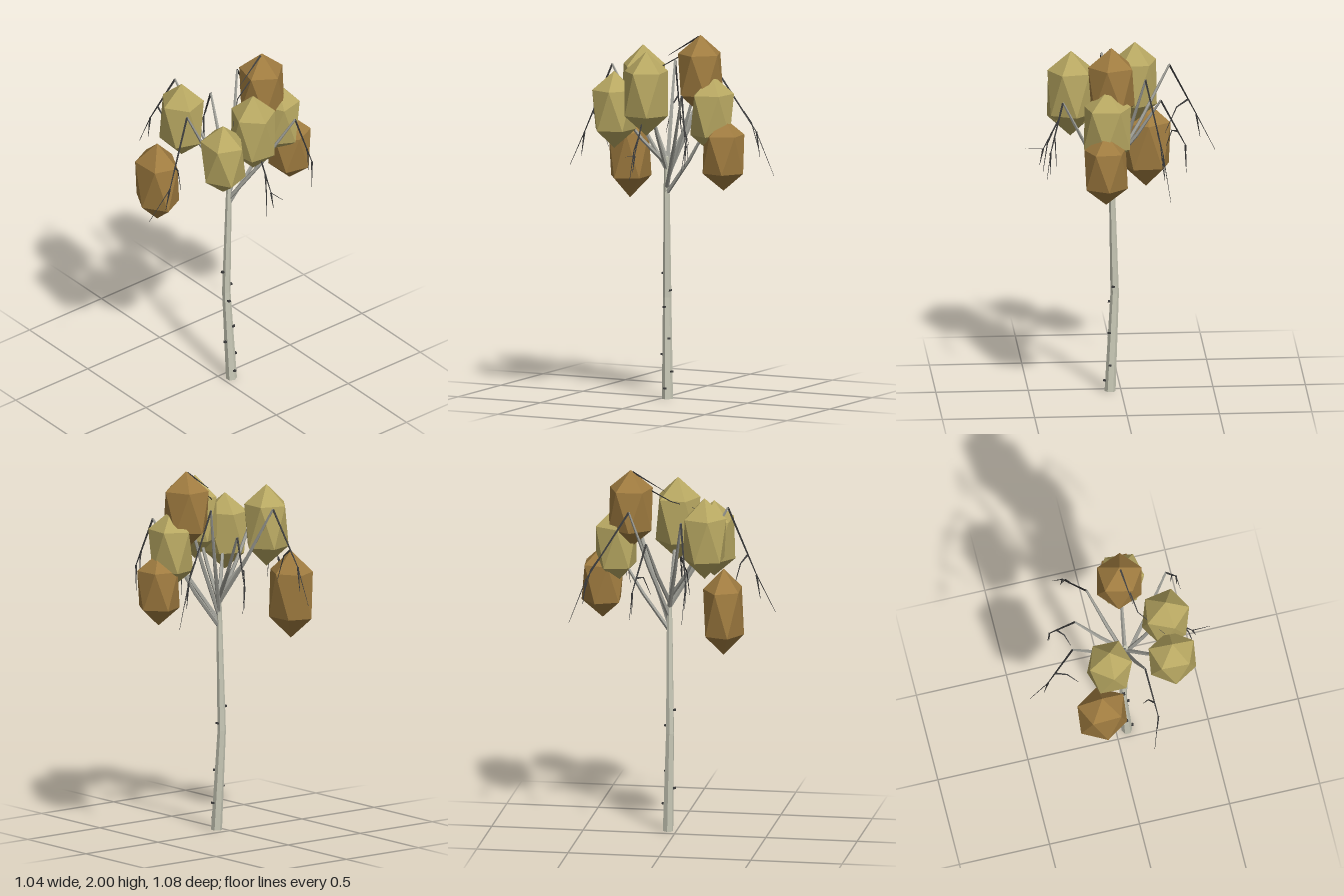
import * as THREE from 'three';

const mat = (color) => new THREE.MeshStandardMaterial({ color, flatShading: true, side: THREE.DoubleSide });
const bark = mat(0xcacab8), grey = mat(0xa2a29a), dark = mat(0x3c3c3c);
const olive = mat(0xb8a862), brown = mat(0xa07c40);
const vec = (x, y, z) => new THREE.Vector3(x, y, z);

// Tapered limb swept through points, with one radius per point
function limb(name, pts, radii, sides, material) {
  const pos = [], idx = [];
  pts.forEach((p, i) => {
    const dir = pts[Math.min(i + 1, pts.length - 1)].clone().sub(pts[Math.max(i - 1, 0)]).normalize();
    const a = (Math.abs(dir.z) > 0.9 ? vec(1, 0, 0) : vec(0, 0, 1)).cross(dir).normalize();
    const b = dir.clone().cross(a);
    for (let k = 0; k < sides; k++) {
      const t = (k / sides) * Math.PI * 2, r = radii[i];
      const q = p.clone().addScaledVector(a, Math.cos(t) * r).addScaledVector(b, Math.sin(t) * r);
      pos.push(q.x, q.y, q.z);
      if (i < pts.length - 1) {
        const j = i * sides + k, n = i * sides + ((k + 1) % sides);
        idx.push(j, n, j + sides, n, n + sides, j + sides);
      }
    }
  });
  const last = (pts.length - 1) * sides;
  for (let k = 1; k < sides - 1; k++) idx.push(0, k + 1, k, last, last + k, last + k + 1);
  const g = new THREE.BufferGeometry();
  g.setAttribute('position', new THREE.Float32BufferAttribute(pos, 3));
  g.setIndex(idx);
  g.computeVertexNormals();
  const m = new THREE.Mesh(g, material);
  m.name = name;
  return m;
}

// Thin dark twig that narrows evenly to its tip
function twig(...pts) {
  const n = pts.length - 1;
  return limb('twig', pts, pts.map((p, i) => 0.0055 * (1 - i / n) + 0.0012), 3, dark);
}

// Branch rising from the trunk at height y0 to its end
function branch(y0, end) {
  const start = vec(0.05, y0, -0.035);
  const mid = start.clone().lerp(end, 0.5);
  mid.y -= 0.02;
  return limb('branch', [start, mid, end], [0.012, 0.0105, 0.006], 5, grey);
}

// Twigs hanging from a branch end: over an elbow to a tip, with a side fork and a short spur
function droop(end, elbow, tip, fork) {
  const g = new THREE.Group();
  g.name = 'droopingTwigs';
  const split = end.clone().lerp(elbow, 0.7);
  const bend = split.clone().lerp(fork, 0.5);
  bend.y += 0.05;
  const spur = elbow.clone().lerp(tip, 0.2);
  spur.y -= 0.09;
  g.add(twig(end, split, elbow, tip), twig(split, bend, fork), twig(elbow, spur));
  return g;
}

// Tall twenty-sided leaf clump standing on a point
function clump(center, size, turn, material) {
  const g = new THREE.IcosahedronGeometry(1, 0);
  g.rotateZ(Math.atan(2 / (1 + Math.sqrt(5))));
  const p = g.attributes.position;
  for (let i = 0; i < p.count; i++) if (Math.abs(p.getY(i)) < 0.9) p.setY(i, p.getY(i) * 1.15);
  g.rotateY(turn);
  g.scale(size.x, size.y, size.z);
  g.computeVertexNormals();
  const m = new THREE.Mesh(g, material);
  m.position.copy(center);
  m.name = 'leafClump';
  return m;
}

export function createModel() {
  const tree = new THREE.Group();
  tree.name = 'tree';

  // Slightly bent trunk
  const trunk = [vec(0.06, 0, -0.045), vec(0.034, 0.55, -0.03), vec(0.048, 1.1, -0.034), vec(0.052, 1.32, -0.036)];
  tree.add(limb('trunk', trunk, [0.03, 0.023, 0.017, 0.013], 6, bark));

  // Dark knots around the lower bark: height and direction
  for (const [y, angle] of [[0.06, 0], [0.15, -1.3], [0.24, 1.5], [0.33, -0.8], [0.5, 0.2], [0.59, -1.2], [0.68, 1.6]]) {
    const r = 0.029 - y * 0.012;
    const k = new THREE.Mesh(new THREE.BoxGeometry(0.022, 0.01, 0.014), dark);
    k.position.copy(trunk[0]).lerp(trunk[1], Math.min(y / 0.55, 1)).setY(y);
    k.position.add(vec(Math.cos(angle) * r, 0, Math.sin(angle) * r));
    k.rotation.set(0, -angle, 0.15);
    k.name = 'knot';
    tree.add(k);
  }

  // Bare branches with drooping twigs: start height, end, elbow, tip, fork
  const bare = [
    [1.2, vec(-0.12, 1.81, -0.23), vec(-0.2, 1.45, -0.45), vec(-0.235, 1.21, -0.54), vec(-0.2, 1.34, -0.47)],
    [1.28, vec(-0.21, 1.66, -0.12), vec(-0.34, 1.42, -0.175), vec(-0.345, 1.27, -0.19), vec(-0.24, 1.39, -0.09)],
    [1.25, vec(-0.27, 1.8, 0.08), vec(-0.42, 1.5, 0.13), vec(-0.52, 1.3, 0.125), vec(-0.25, 1.4, 0.125)],
    [1.25, vec(0.082, 1.81, 0.28), vec(0.12, 1.43, 0.43), vec(0.075, 1.24, 0.54), vec(0.065, 1.35, 0.31)],
    [1.25, vec(0.26, 1.68, -0.03), vec(0.42, 1.37, -0.03), vec(0.52, 1.375, -0.03), vec(0.42, 1.23, 0)],
    [1.15, vec(0.33, 1.7, -0.27), vec(0.4, 1.44, -0.33), vec(0.42, 1.28, -0.31), vec(0.37, 1.36, -0.33)],
  ];
  for (const [y0, end, elbow, tip, fork] of bare) tree.add(branch(y0, end), droop(end, elbow, tip, fork));

  // Branches that end inside the leaves
  tree.add(
    branch(1.3, vec(-0.09, 1.65, 0.17)),
    branch(1.28, vec(0.25, 1.6, 0.16)),
    branch(1.18, vec(0.07, 1.8, -0.25)),
    branch(1.12, vec(0.09, 1.55, -0.33)),
  );

  // Fine twigs across the top of the crown
  tree.add(
    twig(vec(0.07, 1.8, -0.25), vec(0.1, 1.88, -0.14), vec(0.12, 1.82, -0.04), vec(0.24, 1.75, 0.09)),
    twig(vec(0.07, 1.99, -0.24), vec(0.1, 1.88, -0.07)),
  );

  // Leaf clumps
  tree.add(
    clump(vec(-0.09, 1.675, 0.18), vec(0.137, 0.225, 0.133), 0.3, olive),
    clump(vec(0.26, 1.59, 0.175), vec(0.146, 0.21, 0.13), 0.9, olive),
    clump(vec(0.27, 1.69, -0.025), vec(0.144, 0.23, 0.135), 0.5, olive),
    clump(vec(0.095, 1.575, -0.335), vec(0.147, 0.215, 0.128), 0.2, olive),
    clump(vec(0.067, 1.785, -0.25), vec(0.142, 0.215, 0.136), 0.7, brown),
    clump(vec(0.107, 1.365, -0.41), vec(0.133, 0.2, 0.128), 0.4, brown),
    clump(vec(-0.158, 1.29, 0.295), vec(0.152, 0.24, 0.124), 1.0, brown),
  );
  return tree;
}
